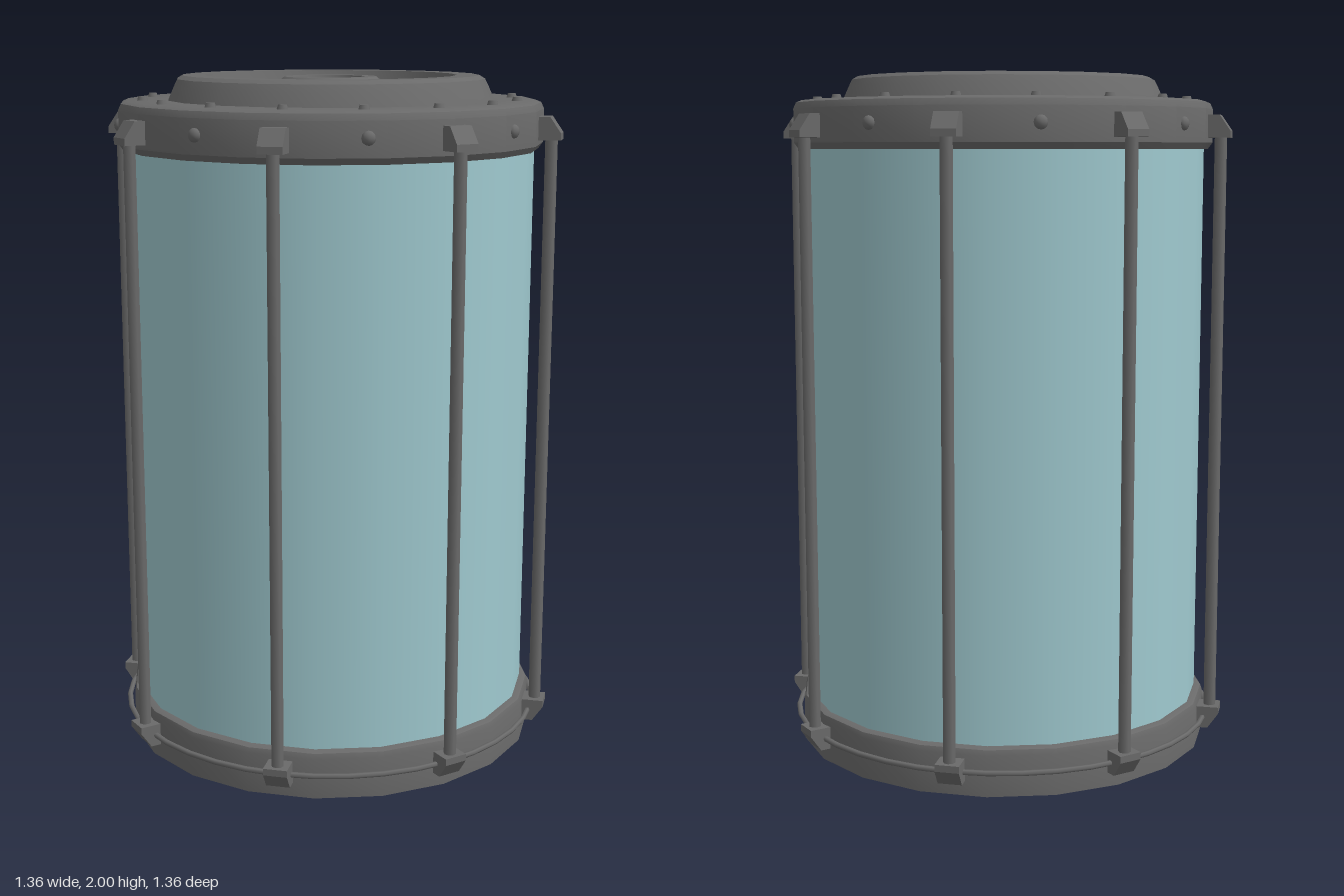
import * as THREE from 'three';
import { toCreasedNormals } from 'three/addons/utils/BufferGeometryUtils.js';

export function createModel() {
  const model = new THREE.Group();
  model.name = 'canister';

  const metal = new THREE.MeshStandardMaterial({ color: 0x6a6a6a });
  metal.name = 'dark grey metal';
  const glass = new THREE.MeshStandardMaterial({ color: 0x9fc9cf });
  glass.name = 'pale blue glass';

  function add(name, geometry, material, parent = model) {
    const mesh = new THREE.Mesh(geometry, material);
    mesh.name = name;
    parent.add(mesh);
    return mesh;
  }

  // Turned part from [radius, height] pairs, outside running bottom to top
  function turned(points, segments) {
    const profile = points.map(([r, y]) => new THREE.Vector2(r, y));
    return toCreasedNormals(new THREE.LatheGeometry(profile, segments), 0.5);
  }

  // Glass body
  add('glassBody', new THREE.CylinderGeometry(0.6, 0.6, 1.7, 20, 1, true).translate(0, 0.96, 0), glass);

  // Base with a softened upper edge
  add('base', turned([
    [0, 0], [0.625, 0], [0.625, 0.12], [0.62, 0.135], [0.605, 0.14], [0.59, 0.14],
  ], 20), metal);

  // Lid: flange, raised ring and recessed floor
  add('lid', turned([
    [0.59, 1.79], [0.612, 1.79], [0.625, 1.808], [0.625, 1.905], [0.617, 1.923], [0.6, 1.93],
    [0.48, 1.93], [0.462, 1.97], [0.452, 1.99], [0.435, 2], [0.37, 2], [0.35, 1.94], [0, 1.94],
  ], 20), metal);

  // Hollow knob in the middle of the lid
  add('lidKnob', turned([
    [0.192, 1.938], [0.188, 1.95], [0.135, 1.995], [0.1, 1.995], [0.09, 1.96], [0, 1.96],
  ], 32), metal);

  // Thin hoop around the base
  add('baseHoop', new THREE.TorusGeometry(0.637, 0.008, 6, 40).rotateX(Math.PI / 2).translate(0, 0.075, 0), metal);

  // Clip with one chamfered outer corner; flip mirrors it for the base
  function clip(flip) {
    const profile = [[0.6, 1.822], [0.682, 1.822], [0.682, 1.842], [0.65, 1.888], [0.6, 1.888]];
    const shape = new THREE.Shape(profile.map(([r, y]) => new THREE.Vector2(r, flip ? 1.93 - y : y)));
    return new THREE.ExtrudeGeometry(shape, { depth: 0.07, bevelEnabled: false }).translate(0, 0, -0.035);
  }
  const topClip = clip(false);
  const bottomClip = clip(true);
  const rod = new THREE.CylinderGeometry(0.018, 0.018, 1.76, 8, 1, true).translate(0.652, 0.965, 0);

  // Eight tie rods, each held by two clips
  for (let i = 0; i < 8; i++) {
    const tie = new THREE.Group();
    tie.name = 'tieRod' + (i + 1);
    tie.rotation.y = i * Math.PI / 4;
    add('rod', rod, metal, tie);
    add('topClip', topClip, metal, tie);
    add('bottomClip', bottomClip, metal, tie);
    model.add(tie);
  }

  // Rivets on the lid's flange and on its side
  const topRivet = new THREE.CylinderGeometry(0.012, 0.017, 0.016, 8).translate(0.55, 1.934, 0);
  const sideRivet = new THREE.SphereGeometry(0.02, 8, 6).scale(0.8, 1, 1).translate(0.618, 1.86, 0);
  for (let i = 0; i < 16; i++) {
    const angle = i * Math.PI / 8;
    add('topRivet', topRivet, metal).rotation.y = angle;
    if (i % 2) add('sideRivet', sideRivet, metal).rotation.y = angle;
  }

  return model;
}
